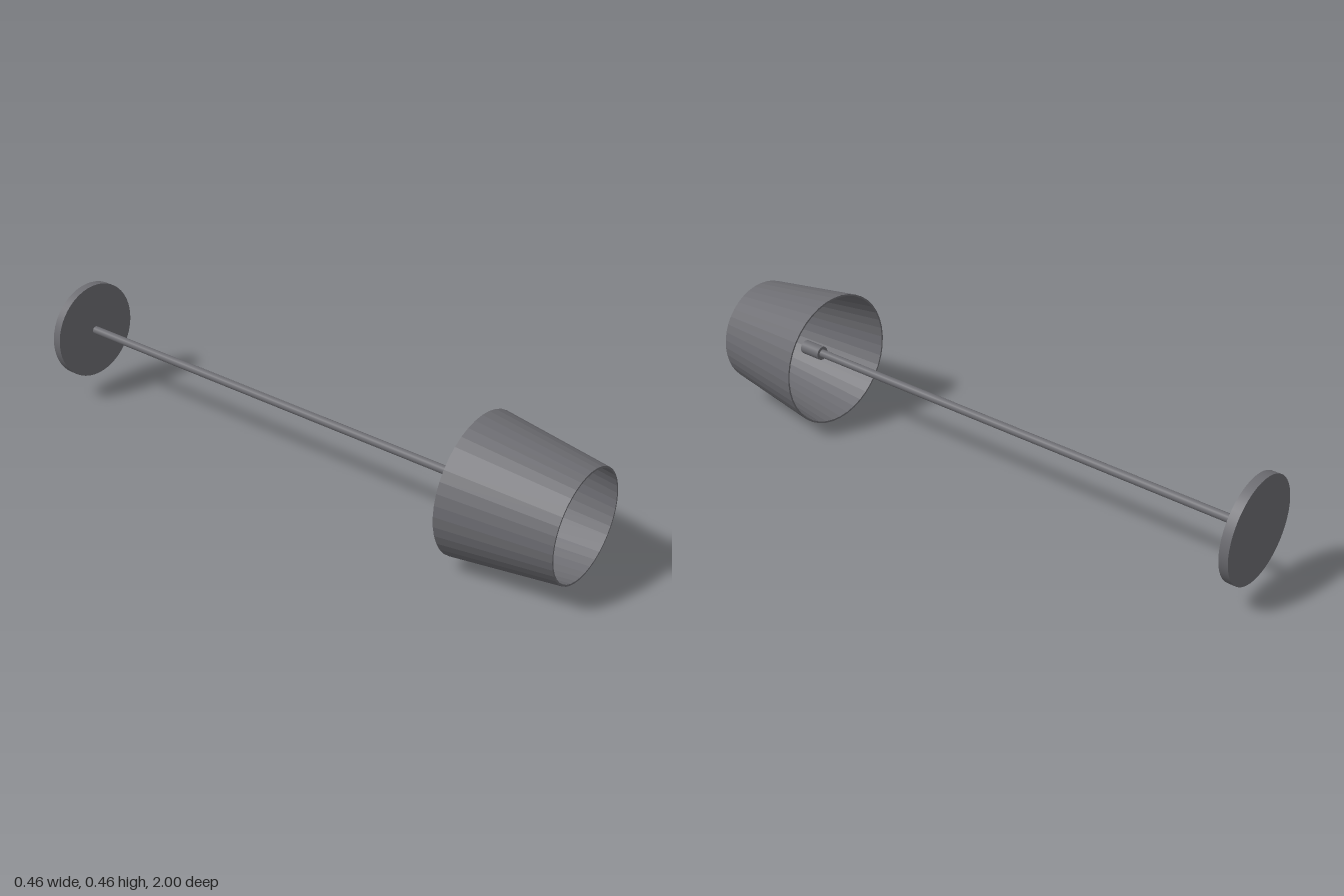
import * as THREE from 'three';

export function createModel() {
  const model = new THREE.Group();
  model.name = 'floorLamp';
  const grey = new THREE.MeshStandardMaterial({ color: 0x6c6c71 });
  grey.name = 'dark grey metal';

  // The lamp lies along z: each part is built along y, then laid down.
  const lamp = new THREE.Group();
  lamp.name = 'lamp';
  lamp.rotation.x = Math.PI / 2;
  lamp.position.y = 0.23;
  model.add(lamp);

  const add = (name, geometry) => {
    const mesh = new THREE.Mesh(geometry, grey);
    mesh.name = name;
    lamp.add(mesh);
  };
  const rod = (name, radius, from, to, sides) =>
    add(name, new THREE.CylinderGeometry(radius, radius, to - from, sides)
      .translate(0, (from + to) / 2, 0));

  rod('base', 0.17, -1, -0.97, 48);
  rod('stem', 0.014, -0.97, 0.72, 16);
  rod('bulbSocket', 0.024, 0.71, 0.79, 24);

  // Open tapered shade with a thin wall, as a closed ring profile;
  // each side is its own lathe so that the rims stay sharp
  const ring = [[0.23, 0.64], [0.18, 1], [0.174, 1], [0.224, 0.64]]
    .map(([r, y]) => new THREE.Vector2(r, y));
  ['shadeOuter', 'shadeFrontRim', 'shadeInner', 'shadeBackRim'].forEach((name, i) =>
    add(name, new THREE.LatheGeometry([ring[i], ring[(i + 1) % 4]], 40)
      .toNonIndexed()));
  for (const mesh of lamp.children) {
    if (mesh.name.startsWith('shade')) mesh.geometry.computeVertexNormals();
  }
  return model;
}
